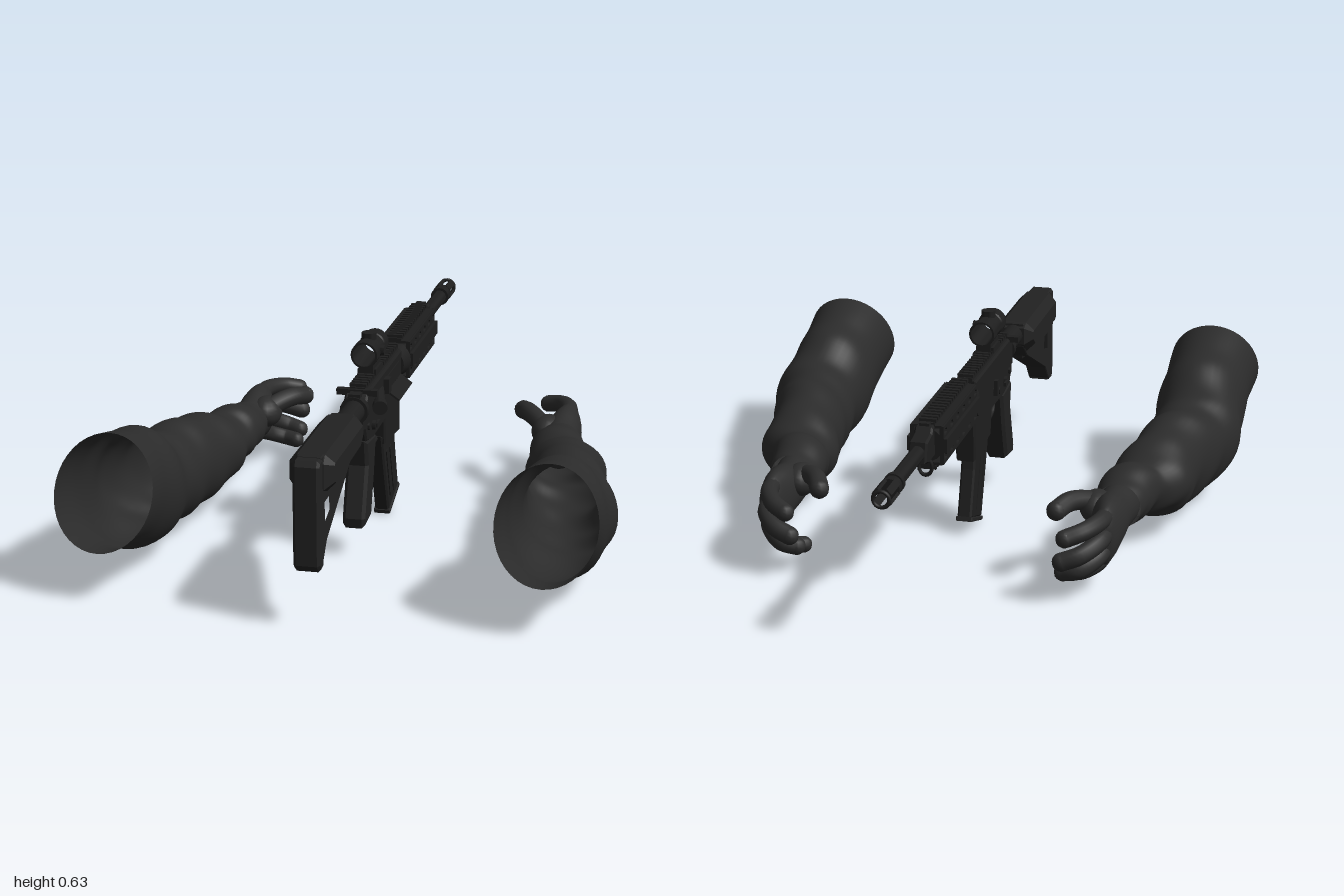
import * as THREE from 'three';
import { toCreasedNormals } from 'three/addons/utils/BufferGeometryUtils.js';

const mat = (name, color, side = THREE.FrontSide) => {
  const m = new THREE.MeshStandardMaterial({ color, side });
  m.name = name;
  return m;
};
const V = (x, y, z) => new THREE.Vector3(x, y, z);

export function createModel() {
  const cloth = mat('dark cloth', 0x2b2b2b, THREE.DoubleSide);
  const glove = mat('glove grey', 0x2c2c2c);
  const metal = mat('gunmetal', 0x1e1e1e);
  const polymer = mat('black polymer', 0x222222);

  const model = new THREE.Group();
  model.name = 'armsAndRifle';
  const rifle = new THREE.Group();
  rifle.name = 'rifle';
  rifle.position.x = -0.008;
  model.add(rifle);

  const add = (parent, name, geo, material, x = 0, y = 0, z = 0) => {
    const mesh = new THREE.Mesh(geo, material);
    mesh.name = name;
    mesh.position.set(x, y, z);
    parent.add(mesh);
    return mesh;
  };
  const box = (name, w, h, d, x, y, z) =>
    add(rifle, name, new THREE.BoxGeometry(w, h, d), metal, x, y, z);
  // Cylinder between two points
  const rod = (name, a, b, r1, r2 = r1) => {
    const geo = toCreasedNormals(new THREE.CylinderGeometry(r2, r1, a.distanceTo(b), 20), 0.7);
    const mesh = add(rifle, name, geo, metal);
    mesh.position.copy(a).lerp(b, 0.5);
    mesh.quaternion.setFromUnitVectors(V(0, 1, 0), b.clone().sub(a).normalize());
  };
  // Side profile in (z, y) given a thickness across x
  const plate = (name, pts, width, m = metal, x = 0, holes = [], bevel = 0.006) => {
    const shape = new THREE.Shape(pts.map(p => new THREE.Vector2(p[0], p[1])));
    for (const h of holes) shape.holes.push(new THREE.Path(h.map(p => new THREE.Vector2(p[0], p[1]))));
    const depth = width - 2 * bevel;
    const geo = new THREE.ExtrudeGeometry(shape, {
      depth, bevelEnabled: bevel > 0, bevelSize: bevel, bevelOffset: -bevel, bevelThickness: bevel, bevelSegments: 1 });
    geo.translate(0, 0, -depth / 2).rotateY(-Math.PI / 2);
    add(rifle, name, geo, m, x);
  };
  const rect = (z, y, w, h) => [[z - w / 2, y - h / 2], [z + w / 2, y - h / 2], [z + w / 2, y + h / 2], [z - w / 2, y + h / 2]];
  const oval = (z, y, w, h) => Array.from({ length: 12 }, (_, i) =>
    [z + w / 2 * Math.cos(i * Math.PI / 6), y + h / 2 * Math.sin(i * Math.PI / 6)]);
  // Toothed accessory rail between two z positions, facing up or down
  const rail = (name, z0, z1, y, up) => {
    const n = Math.round((z1 - z0) / 0.024);
    box(name + 'Base', 0.045, 0.012, z1 - z0, 0, y, (z0 + z1) / 2);
    for (let i = 0; i < n; i++)
      box(name + 'Tooth', 0.05, 0.01, 0.013, 0, y + up * 0.01, z0 + (i + 0.5) * (z1 - z0) / n);
  };

  // Barrel and four-pronged flash hider
  const axisY = 0.458;
  rod('barrel', V(0, axisY, 0), V(0, axisY, -0.88), 0.022);
  rod('hiderCollar', V(0, axisY, -0.855), V(0, axisY, -0.875), 0.03);
  rod('hiderBody', V(0, axisY, -0.88), V(0, axisY, -0.91), 0.028);
  for (let i = 0; i < 4; i++) {
    const a = Math.PI / 4 + i * Math.PI / 2;
    const prong = box('hiderProng', 0.009, 0.022, 0.085, 0.025 * Math.cos(a), axisY + 0.025 * Math.sin(a), -0.945);
    prong.rotation.z = a;
  }
  add(rifle, 'hiderRing', new THREE.TorusGeometry(0.023, 0.006, 8, 20), metal, 0, axisY, -0.994);

  // Gas block, front sight base and sling loop
  plate('gasBlock', [[-0.53, 0.42], [-0.53, 0.515], [-0.555, 0.515], [-0.565, 0.5], [-0.62, 0.49], [-0.63, 0.43], [-0.6, 0.42]], 0.055);
  box('sightPost', 0.03, 0.012, 0.02, 0, 0.517, -0.54);
  const loop = add(rifle, 'slingLoop', new THREE.TorusGeometry(0.02, 0.005, 6, 16), metal, 0, 0.388, -0.538);
  loop.scale.y = 1.3;

  // Vented handguard with smooth side strips and toothed rails
  const hz0 = -0.52, hz1 = -0.13, hm = (hz0 + hz1) / 2, hl = hz1 - hz0;
  const vents = y => Array.from({ length: 6 }, (_, i) => oval(-0.148 - i * 0.07, y, 0.034, 0.02));
  for (const s of [-1, 1]) {
    plate('handguardSide', rect(hm, 0.448, hl, 0.116), 0.012, metal, s * 0.044, [...vents(0.486), ...vents(0.41)], 0);
    box('sideStrip', 0.012, 0.042, hl, s * 0.054, 0.448, hm);
    box('handguardCover', 0.09, 0.008, hl, 0, 0.448 + s * 0.056, hm);
    rail(s > 0 ? 'topRail' : 'bottomRail', hz0, hz1, 0.448 + s * 0.062, s);
  }
  for (const z of [hz0 + 0.006, hz1 - 0.006])
    rod('handguardCap', V(0, 0.448, z - 0.006), V(0, 0.448, z + 0.006), 0.05);
  rod('barrelNut', V(0, 0.448, -0.07), V(0, 0.448, -0.135), 0.044, 0.055);

  // Upper and lower receiver
  plate('upperReceiver', [[-0.08, 0.395], [-0.08, 0.498], [0.38, 0.498], [0.405, 0.475], [0.405, 0.4]], 0.07);
  plate('lowerReceiver', [[0.41, 0.43], [0.41, 0.39], [0.385, 0.345], [0.3, 0.33], [0.14, 0.335], [0.13, 0.255], [-0.07, 0.235], [-0.078, 0.4], [0.38, 0.43]], 0.062);
  rail('receiverRail', -0.08, 0.375, 0.502, 1);
  box('chargingHandle', 0.122, 0.018, 0.022, 0, 0.495, 0.375);
  box('chargingHandleStem', 0.035, 0.018, 0.06, 0, 0.49, 0.39);
  box('ejectionPort', 0.006, 0.045, 0.17, 0.035, 0.45, 0.05);
  const cover = box('dustCover', 0.006, 0.046, 0.185, 0.056, 0.412, 0.045);
  cover.rotation.z = 0.95;
  box('deflector', 0.025, 0.045, 0.035, 0.04, 0.455, 0.165);
  rod('forwardAssist', V(0.015, 0.45, 0.17), V(0.058, 0.44, 0.33), 0.018);
  rod('forwardAssistButton', V(0.055, 0.441, 0.32), V(0.061, 0.439, 0.345), 0.022);
  rod('boltCatch', V(-0.02, 0.39, 0.17), V(-0.052, 0.39, 0.17), 0.012);
  box('boltCatchPaddle', 0.012, 0.05, 0.02, -0.043, 0.405, 0.15);
  for (const s of [-1, 1]) {
    rod('selector', V(s * 0.02, 0.375, 0.31), V(s * 0.042, 0.375, 0.31), 0.014);
    box('selectorLever', 0.008, 0.012, 0.045, s * 0.042, 0.375, 0.292);
    for (const z of [-0.05, 0.37]) rod('receiverPin', V(s * 0.02, 0.39, z), V(s * 0.037, 0.39, z), 0.011);
  }

  // Magazine, trigger and grip
  plate('magazine', [[0.14, 0.28], [0.115, 0.2], [0.045, 0.012], [-0.09, 0.055], [-0.045, 0.2], [-0.03, 0.28]], 0.045);
  for (const s of [-1, 1]) for (const d of [-0.028, 0.02]) {
    const rib = box('magazineRib', 0.006, 0.17, 0.016, s * 0.022, 0.14, 0.035 + d);
    rib.rotation.x = 0.33;
  }
  plate('magazineFloor', [[0.05, 0.012], [0.045, 0], [-0.095, 0.046], [-0.09, 0.06]], 0.052, polymer, 0, [], 0.003);
  const bow = new THREE.CatmullRomCurve3([V(0, 0.33, 0.29), V(0, 0.285, 0.27), V(0, 0.272, 0.21), V(0, 0.275, 0.12)]);
  add(rifle, 'triggerGuard', new THREE.TubeGeometry(bow, 16, 0.008, 8), metal);
  const trig = new THREE.CatmullRomCurve3([V(0, 0.34, 0.21), V(0, 0.31, 0.222), V(0, 0.287, 0.205)]);
  add(rifle, 'trigger', new THREE.TubeGeometry(trig, 10, 0.007, 8), metal);
  plate('pistolGrip', [[0.27, 0.34], [0.285, 0.28], [0.3, 0.22], [0.34, 0.1], [0.43, 0.09], [0.435, 0.12], [0.385, 0.27], [0.4, 0.35]], 0.068, polymer, 0, [], 0.01);

  // Stock and the tube that carries it
  rod('stockTube', V(0, 0.45, 0.4), V(0, 0.45, 0.95), 0.033);
  rod('castleNut', V(0, 0.45, 0.4), V(0, 0.45, 0.425), 0.042);
  plate('stockFrame', [[0.56, 0.486], [0.96, 0.487], [0.96, 0.168], [0.94, 0.185], [0.9, 0.23], [0.62, 0.36], [0.56, 0.41]], 0.07, polymer, 0,
    [[[0.928, 0.352], [0.928, 0.288], [0.87, 0.305], [0.87, 0.352]]], 0.003);
  plate('stockCheek', [[0.55, 0.475], [0.58, 0.487], [0.93, 0.487], [0.95, 0.465], [0.95, 0.39], [0.91, 0.375], [0.6, 0.385], [0.55, 0.42]], 0.128, polymer, 0, [], 0.026);
  plate('buttPad', [[0.95, 0.485], [0.99, 0.487], [1, 0.47], [1, 0.185], [0.985, 0.165], [0.95, 0.17]], 0.076, polymer, 0, [], 0.008);
  plate('stockLever', [[0.62, 0.375], [0.76, 0.35], [0.75, 0.32], [0.63, 0.345]], 0.04, polymer);

  // Open-tube optic on its mount
  const opticY = 0.58;
  const tube = [[0.034, -0.08], [0.04, -0.08], [0.04, -0.035], [0.037, -0.03], [0.037, 0.03], [0.04, 0.035], [0.04, 0.08], [0.034, 0.08], [0.034, -0.08]];
  const lathe = toCreasedNormals(new THREE.LatheGeometry(tube.map(p => new THREE.Vector2(p[0], p[1])), 28).rotateX(Math.PI / 2), 0.5);
  add(rifle, 'opticTube', lathe, metal, 0, opticY, 0.21);
  box('opticMount', 0.042, 0.03, 0.1, 0, 0.531, 0.21);
  box('opticClamp', 0.056, 0.018, 0.08, 0, 0.518, 0.21);
  rod('opticTurret', V(0, 0.612, 0.22), V(0, 0.633, 0.22), 0.022);
  rod('opticSideTurret', V(0.035, opticY, 0.22), V(0.048, opticY, 0.22), 0.016);

  // Smooth loft; each row is z, x, y, half width, half height, backward slant
  const loft = (rows, s, steps, seg, fold) => {
    const centre = new THREE.CatmullRomCurve3(rows.map(r => V(r[1], r[2], r[0])), false, 'catmullrom', 0.5);
    const size = new THREE.CatmullRomCurve3(rows.map(r => V(r[3], r[4], r[5] || 0)), false, 'catmullrom', 0.5);
    const pos = [], idx = [];
    for (let i = 0; i <= steps; i++) {
      const t = i / steps, c = centre.getPoint(t), q = size.getPoint(t);
      for (let j = 0; j < seg; j++) {
        const a = j / seg * Math.PI * 2;
        const k = 1 + fold * Math.min(1, t * 4) * Math.sin(t * 44 + 2.2 * Math.sin(a + 0.6) + 1.3 * Math.cos(2 * a));
        const dy = q.y * k * Math.sin(a);
        pos.push(s * (c.x + q.x * k * Math.cos(a)), c.y + dy, c.z - q.z * dy);
        if (i < steps) {
          const p = i * seg + j, r = i * seg + (j + 1) % seg;
          const f = [p, p + seg, r, r, p + seg, r + seg];
          idx.push(...(s > 0 ? f : f.reverse()));
        }
      }
    }
    const geo = new THREE.BufferGeometry();
    geo.setAttribute('position', new THREE.Float32BufferAttribute(pos, 3));
    geo.setIndex(idx);
    geo.computeVertexNormals();
    return geo;
  };

  const sleeveRows = [
    [0.865, 0.63, 0.303, 0.145, 0.155, 0.48], [0.72, 0.627, 0.268, 0.138, 0.158, 0.42], [0.58, 0.627, 0.223, 0.14, 0.177, 0.2],
    [0.45, 0.635, 0.193, 0.138, 0.15, 0.1], [0.35, 0.617, 0.183, 0.128, 0.147], [0.25, 0.6, 0.182, 0.12, 0.148],
    [0.14, 0.577, 0.178, 0.115, 0.135], [0.05, 0.567, 0.178, 0.125, 0.113], [-0.02, 0.55, 0.18, 0.104, 0.086],
    [-0.07, 0.522, 0.192, 0.09, 0.088], [-0.14, 0.515, 0.187, 0.083, 0.078], [-0.2, 0.508, 0.182, 0.07, 0.07]];
  const palmRows = [
    [-0.13, 0.51, 0.18, 0.002, 0.002], [-0.15, 0.51, 0.18, 0.057, 0.062], [-0.24, 0.503, 0.18, 0.058, 0.07], [-0.31, 0.505, 0.18, 0.055, 0.082],
    [-0.37, 0.508, 0.172, 0.045, 0.09], [-0.42, 0.508, 0.165, 0.032, 0.08], [-0.445, 0.506, 0.165, 0.002, 0.03]];
  const digits = {
    indexFinger: [0.027, [0.51, 0.225, -0.37], [0.5, 0.226, -0.445], [0.465, 0.218, -0.51], [0.42, 0.205, -0.541]],
    middleFinger: [0.028, [0.512, 0.18, -0.38], [0.502, 0.17, -0.465], [0.46, 0.148, -0.52], [0.41, 0.13, -0.535]],
    ringFinger: [0.027, [0.512, 0.138, -0.37], [0.498, 0.118, -0.45], [0.45, 0.09, -0.492], [0.405, 0.078, -0.485]],
    littleFinger: [0.025, [0.51, 0.108, -0.35], [0.49, 0.083, -0.41], [0.445, 0.064, -0.437], [0.402, 0.06, -0.425]],
    thumb: [0.03, [0.485, 0.195, -0.22], [0.43, 0.228, -0.28], [0.388, 0.238, -0.335], [0.362, 0.228, -0.388]],
  };

  // Mirrored arms: sleeve, palm and curled digits
  for (const s of [-1, 1]) {
    const arm = new THREE.Group();
    arm.name = s > 0 ? 'leftArm' : 'rightArm';
    model.add(arm);
    add(arm, 'sleeve', loft(sleeveRows, s, 90, 40, 0.024), cloth);
    add(arm, 'palm', loft(palmRows, s, 36, 24, 0), glove);
    for (const [name, [r, ...pts]] of Object.entries(digits)) {
      const path = pts.map(p => V(s * p[0], p[1], p[2]));
      add(arm, name, new THREE.TubeGeometry(new THREE.CatmullRomCurve3(path), 18, r, 12), glove);
      for (const p of [path[0], path[3]])
        add(arm, name + 'End', new THREE.SphereGeometry(r, 12, 8), glove, p.x, p.y, p.z);
    }
    // Thumb base filling the web of the hand
    const pad = add(arm, 'thumbPad', new THREE.SphereGeometry(0.05, 16, 12), glove, s * 0.458, 0.205, -0.265);
    pad.scale.set(1, 1, 1.35);
  }
  return model;
}
